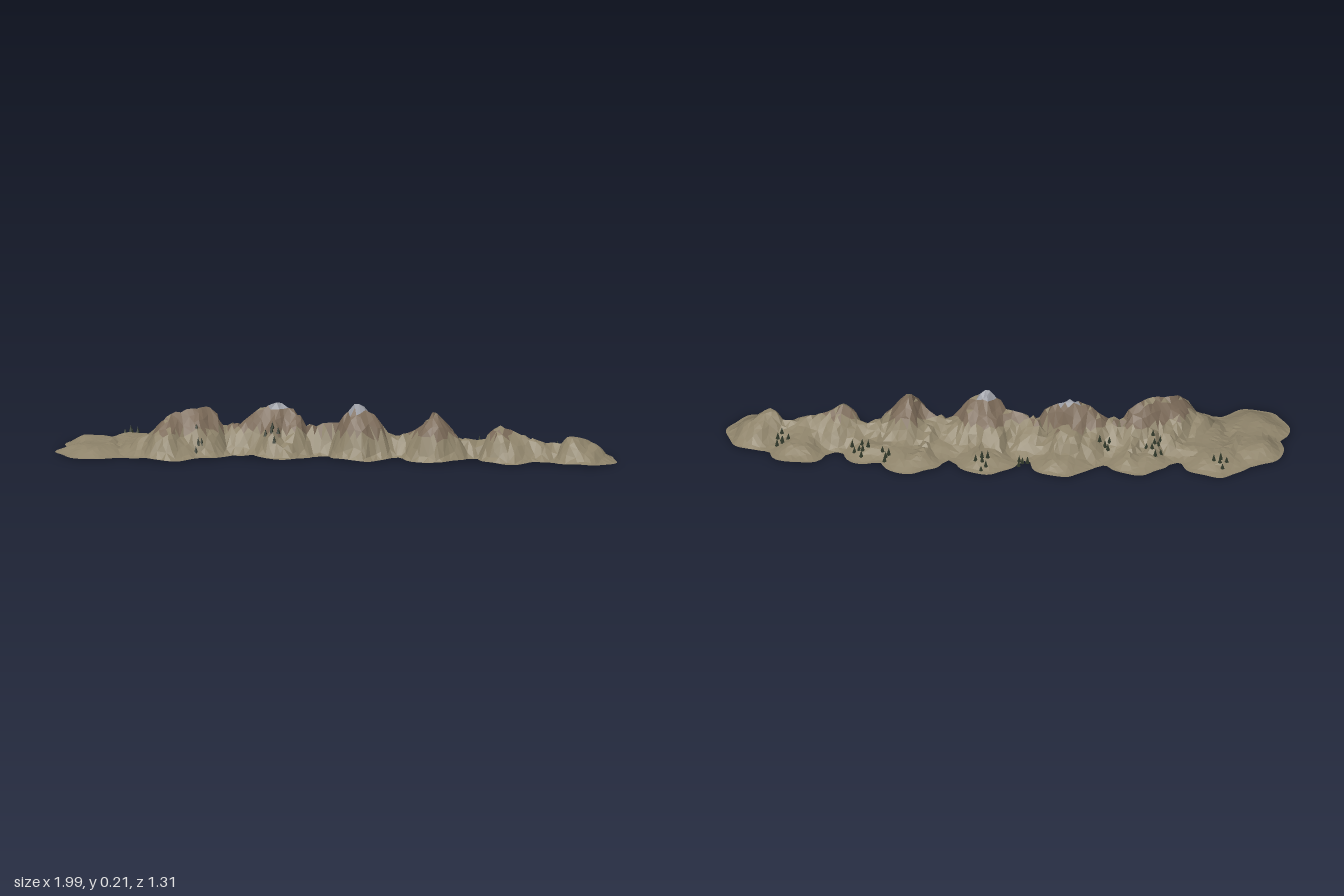
import * as THREE from 'three';
import { mergeGeometries } from 'three/addons/utils/BufferGeometryUtils.js';

// Footprint: overlapping round lobes [x, z, radius]
const LOBES = [
  [-0.85, -0.41, 0.15], [-0.78, -0.52, 0.14], [-0.63, -0.52, 0.14], [-0.62, -0.36, 0.19],
  [-0.59, -0.24, 0.14], [-0.47, -0.23, 0.13], [-0.36, -0.36, 0.135], [-0.25, -0.21, 0.15],
  [-0.18, -0.08, 0.13], [-0.09, -0.23, 0.13], [0.0, -0.07, 0.12], [0.1, 0.07, 0.14],
  [0.16, -0.06, 0.135], [0.27, 0.1, 0.13], [0.35, 0.22, 0.14], [0.42, 0.09, 0.135],
  [0.52, 0.22, 0.13], [0.61, 0.37, 0.135], [0.78, 0.36, 0.125], [0.73, 0.42, 0.1], [0.865, 0.52, 0.13],
];
// Crest line: [x, z, height]
const CREST = [
  [-0.61, -0.25, 0.17], [-0.54, -0.26, 0.185], [-0.47, -0.26, 0.205], [-0.41, -0.25, 0.18],
  [-0.36, -0.23, 0.14], [-0.3, -0.2, 0.12], [-0.24, -0.17, 0.19], [-0.18, -0.13, 0.222],
  [-0.13, -0.1, 0.19], [-0.05, -0.04, 0.12], [0.03, 0.04, 0.18], [0.08, 0.075, 0.235],
  [0.13, 0.1, 0.195], [0.2, 0.15, 0.1], [0.28, 0.2, 0.13], [0.35, 0.24, 0.208], [0.4, 0.27, 0.13],
  [0.48, 0.32, 0.1], [0.57, 0.36, 0.148], [0.66, 0.4, 0.11], [0.74, 0.45, 0.075],
  [0.82, 0.515, 0.118], [0.88, 0.52, 0.095],
];
// Tree clusters: [x, z, count]
const GROVES = [
  [-0.61, -0.59, 5], [-0.43, -0.38, 8], [-0.26, -0.28, 4], [-0.24, -0.05, 5], [-0.51, -0.16, 4],
  [0.06, -0.18, 4], [0.21, -0.12, 6], [0.52, 0.11, 4], [0.59, 0.2, 7], [0.83, 0.4, 6],
];

const hash = (i, j) => {
  const s = Math.sin(i * 127.1 + j * 311.7) * 43758.5453;
  return s - Math.floor(s);
};
const noise = (x, z) =>
  (Math.sin(x * 31 + 4 * Math.sin(z * 13)) + Math.sin(z * 37 + 3 * Math.sin(x * 17)) + Math.sin((x + z) * 61)) / 3;

// Nearest lobe and depth inside the footprint
function footprint(x, z) {
  let depth = -Infinity, lobe = null;
  for (const l of LOBES) {
    const d = l[2] - Math.hypot(x - l[0], z - l[1]);
    if (d > depth) { depth = d; lobe = l; }
  }
  return { depth, lobe };
}

// Low apron rising from the rim, with the steep crest on top
function heightAt(x, z) {
  const depth = Math.max(0, footprint(x, z).depth);
  const rise = THREE.MathUtils.smoothstep(depth, 0, 0.09);
  const n = noise(x, z);
  const apron = 0.011 + 0.006 * noise(x * 0.4 + 1, z * 0.4) + rise * (0.033 + 0.007 * n);
  let top = 0;
  for (let i = 0; i + 1 < CREST.length; i++) {
    const [ax, az, ah] = CREST[i], [bx, bz, bh] = CREST[i + 1];
    const dx = bx - ax, dz = bz - az;
    const t = THREE.MathUtils.clamp(((x - ax) * dx + (z - az) * dz) / (dx * dx + dz * dz), 0, 1);
    const s = Math.hypot(x - ax - t * dx, z - az - t * dz);
    const h = ah + (bh - ah) * t;
    const width = (0.075 + 0.37 * h) * (1 + 0.2 * n);
    const u = Math.max(0, 1 - s / width);
    top = Math.max(top, Math.max(0, h - apron) * Math.pow(u, 1.25));
  }
  // the crest fades out at the rim
  return Math.max(0, apron + top * THREE.MathUtils.smoothstep(depth, -0.01, 0.06));
}

// Jittered grid clipped to the footprint, sorted into rock bands
function terrainBands() {
  const step = 0.021, nx = 106, nz = 76, grid = [];
  for (let i = 0; i <= nx; i++) {
    grid.push([]);
    for (let j = 0; j <= nz; j++) {
      let x = (i - nx / 2 + (hash(i, j) - 0.5) * 0.5) * step;
      let z = (j - nz / 2 + (hash(j + 57, i) - 0.5) * 0.5) * step;
      const { depth, lobe } = footprint(x, z);
      if (depth < 0) { // pull outside corners onto the rim
        const k = lobe[2] / (lobe[2] - depth);
        x = lobe[0] + (x - lobe[0]) * k;
        z = lobe[1] + (z - lobe[1]) * k;
      }
      const y = heightAt(x, z);
      const wx = x + 0.006 * Math.sin(z * 43), wz = z + 0.006 * Math.sin(x * 47);
      grid[i].push({ inside: depth > 0, p: new THREE.Vector3(wx, y, wz) });
    }
  }
  const bands = { slopes: [], cliffs: [], snowCaps: [] };
  const normal = new THREE.Vector3();
  const addTriangle = (a, b, c) => {
    const tri = new THREE.Triangle(a.p, b.p, c.p);
    if (tri.getArea() < 1e-7) return;
    tri.getNormal(normal);
    const y = (a.p.y + b.p.y + c.p.y) / 3;
    const band = y > 0.19 ? 'snowCaps' : y > 0.105 && normal.y < 0.8 ? 'cliffs' : 'slopes';
    for (const v of [a, b, c]) bands[band].push(v.p.x, v.p.y, v.p.z);
  };
  for (let i = 0; i < nx; i++) for (let j = 0; j < nz; j++) {
    const a = grid[i][j], b = grid[i][j + 1], c = grid[i + 1][j + 1], d = grid[i + 1][j];
    if (![a, b, c, d].some((v) => v.inside)) continue;
    if ((i + j) % 2) { addTriangle(a, b, c); addTriangle(a, c, d); }
    else { addTriangle(a, b, d); addTriangle(b, c, d); }
  }
  return bands;
}

export function createModel() {
  const group = new THREE.Group();
  group.name = 'mountainRange';

  // Open rock shell in three colours
  const colors = { slopes: 0x8f846b, cliffs: 0x7c6b59, snowCaps: 0x9a9ca3 };
  for (const [name, points] of Object.entries(terrainBands())) {
    const geometry = new THREE.BufferGeometry();
    geometry.setAttribute('position', new THREE.Float32BufferAttribute(points, 3));
    geometry.computeVertexNormals();
    const material = new THREE.MeshStandardMaterial({ color: colors[name], flatShading: true, side: THREE.DoubleSide });
    const mesh = new THREE.Mesh(geometry, material);
    mesh.name = name;
    group.add(mesh);
  }

  // Small conifers scattered in groves
  const cones = [];
  GROVES.forEach(([gx, gz, count], g) => {
    for (let k = 0; k < count; k++) {
      const angle = k * 2.4 + g, radius = 0.014 * Math.sqrt(k);
      const x = gx + radius * Math.cos(angle), z = gz + radius * 1.2 * Math.sin(angle);
      const tall = 0.022 + 0.012 * hash(g, k);
      cones.push(new THREE.ConeGeometry(0.009, tall, 5).translate(x, heightAt(x, z) + tall / 2 - 0.002, z));
    }
  });
  const trees = new THREE.Mesh(mergeGeometries(cones),
    new THREE.MeshStandardMaterial({ color: 0x30382a, flatShading: true }));
  trees.name = 'trees';
  group.add(trees);
  return group;
}
